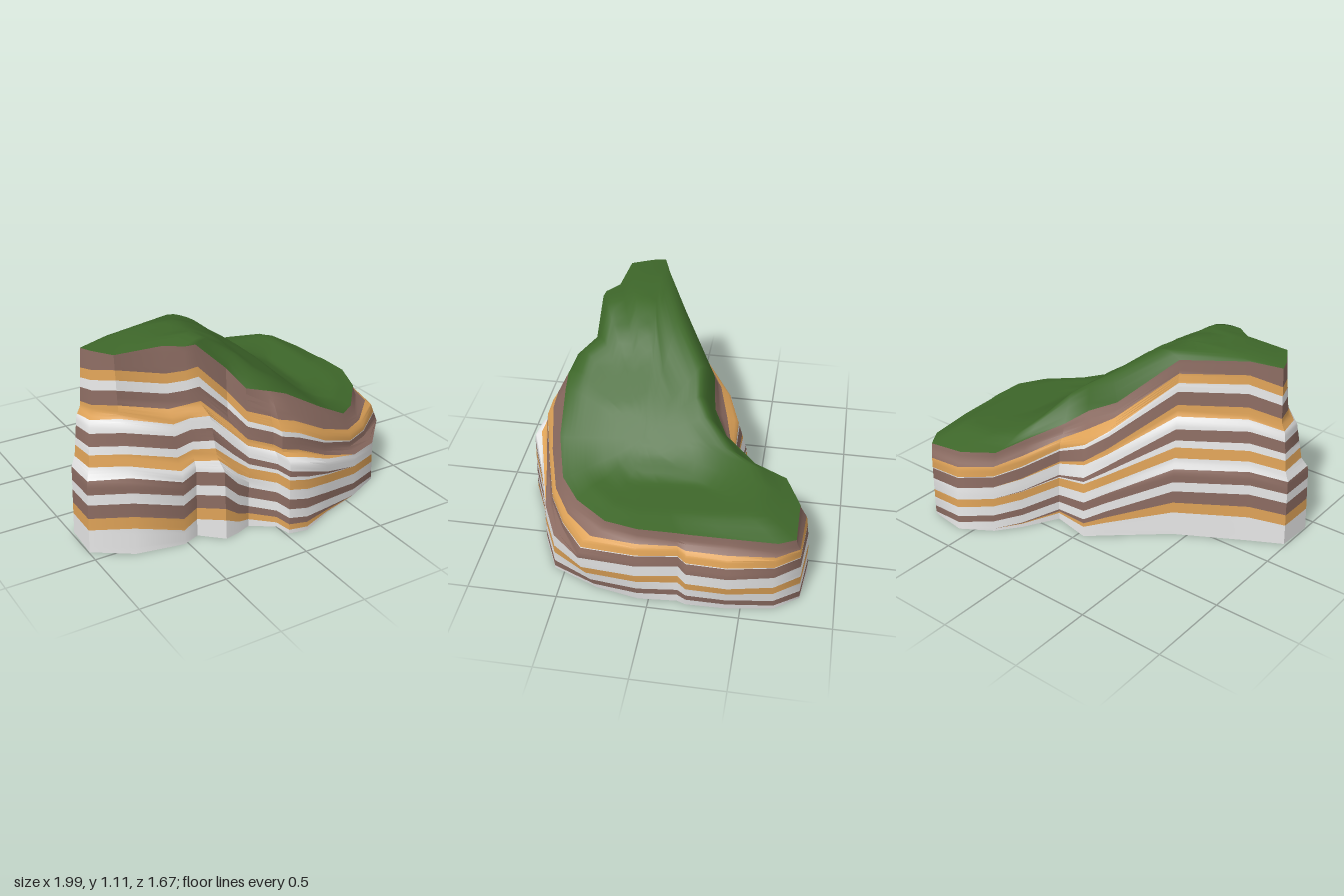
import * as THREE from 'three';
import { toCreasedNormals } from 'three/addons/utils/BufferGeometryUtils.js';

const { lerp, clamp, smoothstep } = THREE.MathUtils;

const mat = (name, color) => {
  const m = new THREE.MeshStandardMaterial({ color, side: THREE.DoubleSide });
  m.name = name;
  return m;
};

// Cliff columns: rim x, z, y and foot x, z, going round from the tall end along the front
const columns = [
  [[-0.895, 0.205, 1.08], [-0.985, 0.2]], [[-0.87, 0.28, 1.085], [-0.995, 0.42]],
  [[-0.8, 0.4, 1.09], [-0.79, 0.56]], [[-0.53, 0.42, 1.09], [-0.52, 0.61]],
  [[-0.44, 0.485, 1.09], [-0.42, 0.57]], [[-0.38, 0.49, 1.09], [-0.3, 0.68]],
  [[-0.2, 0.495, 0.92], [-0.21, 0.66]], [[-0.14, 0.6, 0.83], [-0.13, 0.63]],
  [[-0.02, 0.62, 0.795], [0, 0.715]], [[0, 0.625, 0.79], [0.02, 0.81]],
  [[0.1, 0.62, 0.75], [0.125, 0.83]], [[0.35, 0.6, 0.6], [0.32, 0.74]],
  [[0.56, 0.54, 0.48], [0.57, 0.66]], [[0.7, 0.43, 0.45], [0.78, 0.56]],
  [[0.86, 0.24, 0.465], [0.935, 0.37]], [[0.917, 0.056, 0.485], [0.975, 0.06]],
  [[0.915, -0.15, 0.485], [0.94, -0.16]], [[0.912, -0.2, 0.48], [0.985, -0.21]],
  [[0.905, -0.42, 0.475], [0.985, -0.43]], [[0.885, -0.68, 0.46], [0.92, -0.67]],
  [[0.83, -0.77, 0.45], [0.8, -0.81]], [[0.585, -0.77, 0.48], [0.575, -0.84]],
  [[0.4, -0.68, 0.5], [0.4, -0.73]], [[0.335, -0.5, 0.53], [0.3, -0.6]],
  [[0.2, -0.32, 0.6], [0.19, -0.4]], [[0.083, -0.24, 0.69], [-0.04, -0.45]],
  [[-0.1, -0.21, 0.79], [-0.13, -0.37]], [[-0.365, 0, 1.05], [-0.425, -0.115]],
  [[-0.72, 0.15, 1.09], [-0.8, 0.1]],
];

// Rock layers from the rim down: colour, thickness at the tall end, thickness at the low end
const layers = [
  ['brown', 0.08, 0.08], ['orange', 0.055, 0.06], ['white', 0.055, 0.005], ['brown', 0.08, 0.065],
  ['orange', 0.07, 0], ['white', 0.065, 0.075], ['brown', 0.07, 0], ['white', 0.045, 0],
  ['orange', 0.065, 0.05], ['white', 0.06, 0.06], ['brown', 0.08, 0.04], ['white', 0.06, 0.05],
  ['brown', 0.08, 0], ['orange', 0.07, 0], ['white', 2, 2],
];

// Piecewise linear lookup in a list of [input, output] pairs
function lookup(table, v) {
  if (v <= table[0][0]) return table[0][1];
  for (let i = 1; i < table.length; i++) {
    const [a, p] = table[i - 1], [b, q] = table[i];
    if (v <= b) return p + ((q - p) * (v - a)) / (b - a);
  }
  return table[table.length - 1][1];
}

// How far the cliff has stepped out from rim to foot on each side
const ledges = {
  tall: [[0, 0], [0.3, 0.17], [0.35, 0.45], [0.56, 0.68], [0.62, 0.92], [1, 1]],
  front: [[0, 0], [0.19, 0.4], [0.25, 0.55], [0.4, 0.6], [0.45, 0.95], [1, 1]],
  end: [[0, 0], [0.12, 0.1], [0.2, 0.8], [0.42, 1.1], [0.6, 1], [1, 0.45]],
  back: [[0, 0], [0.08, 0.15], [0.18, 0.6], [0.5, 0.85], [1, 1]],
};

function sideOf(x, z) {
  if (x > 0.85) return 'end';
  if (x > -0.2 && z > 0.3) return 'front';
  return x > -0.2 ? 'back' : 'tall';
}

function cliffPoint([[rx, rz, ry], [fx, fz]], y) {
  const out = lookup(ledges[sideOf(rx, rz)], 1 - y / ry);
  return [lerp(rx, fx, out), y, lerp(rz, fz, out)];
}

// Sag of the layers below the rim along the front
const sag = [[-0.9, 0.03], [-0.8, 0], [-0.53, 0.07], [-0.38, 0.04], [-0.14, 0.05], [0, 0.06],
  [0.35, 0.03], [0.6, 0]];

// Height of the boundary above layer n in one column
function boundary([[rx, rz, ry]], n) {
  if (n === 0) return ry;
  const tall = clamp((ry - 0.5) / 0.59, 0, 1);
  let y = ry - (rz > 0.2 ? lookup(sag, rx) : 0);
  for (let i = 0; i < n; i++) y -= lerp(layers[i][2], layers[i][1], tall);
  return Math.max(0, y);
}

// Closed loops of points joined into a surface, each loop below or outside the one before
function loft(rows) {
  const index = [];
  const n = rows[0].length;
  for (let j = 0; j < rows.length - 1; j++) {
    for (let i = 0; i < n; i++) {
      const a = j * n + i, b = j * n + ((i + 1) % n);
      index.push(a, a + n, b + n, a, b + n, b);
    }
  }
  const g = new THREE.BufferGeometry();
  g.setAttribute('position', new THREE.Float32BufferAttribute(rows.flat(2), 3));
  g.setIndex(index);
  return g;
}

// Rolling height of the grass away from the rim
const slope = [[-0.9, 1.11], [-0.32, 1.11], [-0.14, 1.03], [-0.03, 0.93], [0.22, 0.76],
  [0.42, 0.58], [0.55, 0.51], [0.9, 0.5]];

function grassHeight(x, z) {
  const low = smoothstep(x, 0.2, 0.6);
  const middle = smoothstep(x, -0.4, -0.1) * (1 - low);
  const tilt = 0.1 * Math.max(0, z - 0.1) + 0.4 * Math.max(0, -0.2 - z);
  return lookup(slope, x) - 0.05 * z * low - tilt * middle;
}

export function createModel() {
  const group = new THREE.Group();
  group.name = 'layeredHill';
  const mats = {
    brown: mat('brown rock', 0x8c6c62),
    orange: mat('orange rock', 0xdfa358),
    white: mat('pale rock', 0xececec),
    green: mat('grass green', 0x3e672a),
  };

  // Rock layers, each lofted between two boundaries
  const steps = 4;
  layers.forEach(([color], n) => {
    const rows = [];
    for (let s = 0; s <= steps; s++) {
      rows.push(columns.map((c) => cliffPoint(c, lerp(boundary(c, n), boundary(c, n + 1), s / steps))));
    }
    const mesh = new THREE.Mesh(toCreasedNormals(loft(rows), 0.8), mats[color]);
    mesh.name = `${color}RockLayer${n + 1}`;
    group.add(mesh);
  });

  // Grass top, rings spreading from an inner point to the rim
  const cx = 0.35, cz = 0.12, rings = 18;
  const rows = [];
  for (let j = 0; j <= rings; j++) {
    const t = j / rings;
    const inner = Math.min(1, (1 - t) * 5);
    rows.push(columns.map(([[rx, rz, ry]]) => {
      const x = lerp(cx, rx, t), z = lerp(cz, rz, t);
      return [x, lerp(ry, grassHeight(x, z), inner), z];
    }));
  }
  const grassGeometry = loft(rows);
  grassGeometry.computeVertexNormals();
  // the innermost ring is a single point, so it shares one normal
  columns.forEach((_, i) => grassGeometry.attributes.normal.setXYZ(i, 0.65, 0.76, 0));
  const grass = new THREE.Mesh(grassGeometry, mats.green);
  grass.name = 'grassTop';
  group.add(grass);

  return group;
}
